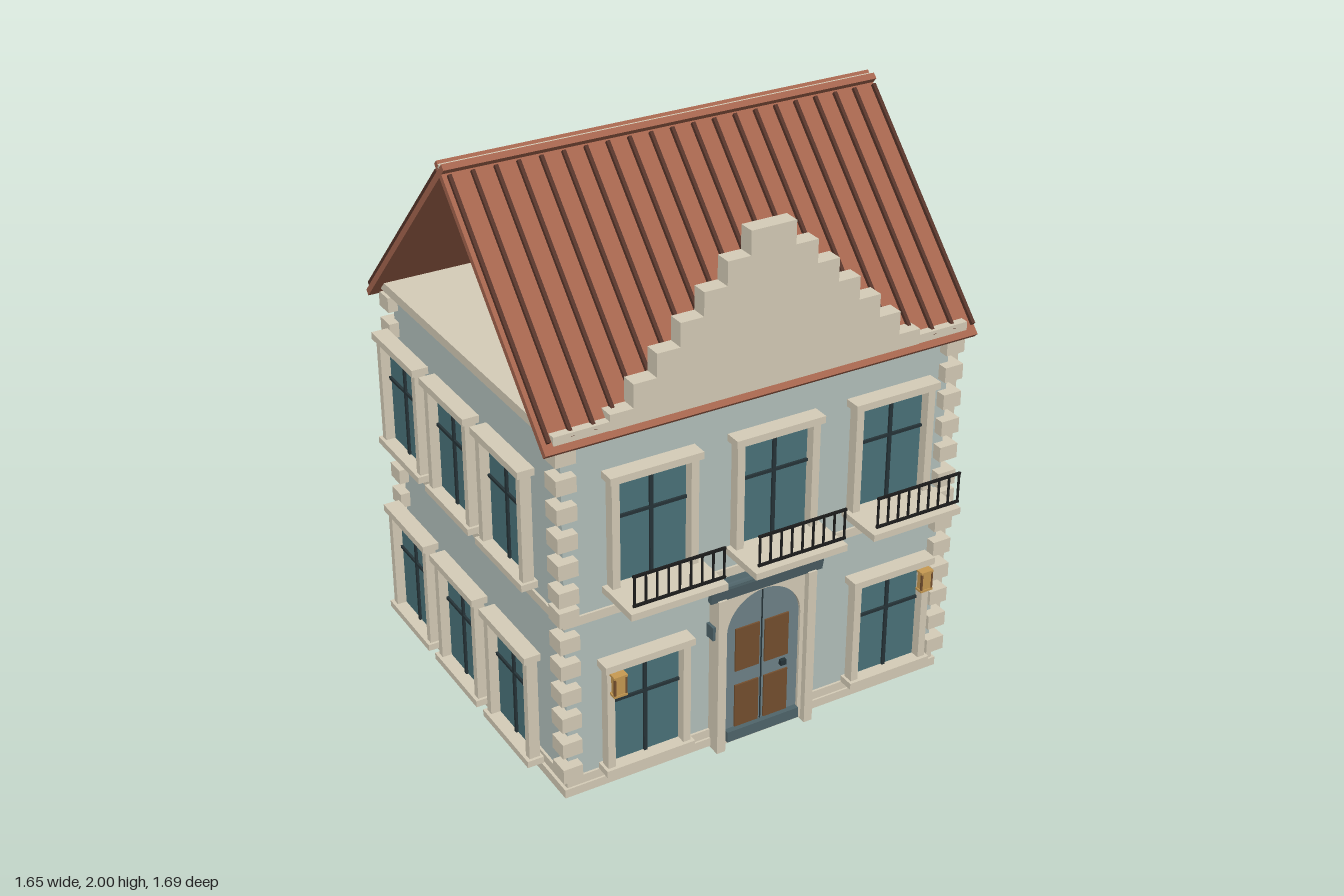
import * as THREE from 'three';

const mat = (color) => new THREE.MeshStandardMaterial({ color });
const M = {
  wall: mat(0xb4c2bd), cream: mat(0xd6cdb8), glass: mat(0x4a737a), dark: mat(0x263438),
  iron: mat(0x1c1c1c), roof: mat(0xa5654e), rib: mat(0x57352a), door: mat(0x6f8389),
  panel: mat(0x75502f), slate: mat(0x50656b), gold: mat(0xc79a52),
};

// Box given by its min and max on every axis
function box(parent, name, m, [x0, x1], [y0, y1], [z0, z1]) {
  const mesh = new THREE.Mesh(new THREE.BoxGeometry(x1 - x0, y1 - y0, z1 - z0), m);
  mesh.position.set((x0 + x1) / 2, (y0 + y1) / 2, (z0 + z1) / 2);
  mesh.name = name;
  parent.add(mesh);
  return mesh;
}

function group(parent, name) {
  const g = new THREE.Group();
  g.name = name;
  parent.add(g);
  return g;
}

// Window facing +z; the local origin is the bottom centre of the glass
function makeWindow(parent, x, y, z, withBalcony) {
  const g = group(parent, withBalcony ? 'balconyWindow' : 'window');
  g.position.set(x, y, z);
  box(g, 'glass', M.glass, [-0.13, 0.13], [0, 0.375], [0.004, 0.012]);
  box(g, 'mullion', M.dark, [-0.006, 0.006], [0, 0.375], [0.002, 0.02]);
  box(g, 'transom', M.dark, [-0.125, 0.125], [0.23, 0.24], [0.002, 0.02]);
  for (const s of [-1, 1]) {
    const e = [s * 0.125, s * 0.152].sort((a, b) => a - b);
    box(g, 'jamb', M.cream, e, [0, 0.375], [0.008, 0.046]);
  }
  box(g, 'lintel', M.cream, [-0.162, 0.162], [0.375, 0.4], [0, 0.058]);
  if (!withBalcony) {
    box(g, 'sill', M.cream, [-0.162, 0.162], [-0.024, 0], [0, 0.058]);
    return;
  }
  box(g, 'balconySlab', M.cream, [-0.17, 0.17], [-0.024, 0], [0.01, 0.192]);
  for (const ry of [0.022, 0.126]) {
    box(g, 'rail', M.iron, [-0.162, 0.162], [ry, ry + 0.008], [0.184, 0.192]);
  }
  for (let i = 0; i <= 8; i++) {
    const bx = -0.157 + i * 0.314 / 8;
    box(g, 'railBar', M.iron, [bx - 0.003, bx + 0.003], [0.022, 0.13], [0.185, 0.191]);
  }
}

function makeFacades(house) {
  const LOW = 0.136, HIGH = 0.808;
  for (const [name, turn] of [['frontWindows', 0], ['backWindows', Math.PI]]) {
    const g = group(house, name);
    g.rotation.y = turn;
    for (const x of [-0.442, 0, 0.442]) makeWindow(g, x, HIGH, 0.652, true);
    const lower = turn === 0 ? [-0.467, 0.467] : [-0.442, 0, 0.442];
    for (const x of lower) makeWindow(g, x, LOW, 0.652, false);
  }
  for (const s of [-1, 1]) {
    const g = group(house, s > 0 ? 'leftWindows' : 'rightWindows');
    g.rotation.y = s * Math.PI / 2;
    for (const y of [LOW, HIGH]) for (const x of [-0.375, 0, 0.375]) makeWindow(g, x, y, 0.767, false);
  }
}

// Corner stones
function makeQuoins(house) {
  const g = group(house, 'quoins');
  const heights = [0.11, 0.21, 0.31, 0.41, 0.51, 0.607, 0.707, 0.78, 0.88, 0.977, 1.077, 1.177, 1.275];
  for (const sx of [-1, 1]) for (const sz of [-1, 1]) for (const y of heights) {
    const stone = new THREE.Mesh(new THREE.BoxGeometry(0.07, 0.054, 0.073), M.cream);
    stone.position.set(sx * 0.713, y, sz * 0.6);
    stone.name = 'quoin';
    g.add(stone);
  }
}

// Two crossing slopes with raised ribs
function makeRoof(house) {
  const roof = group(house, 'roof');
  for (const turn of [0, Math.PI]) {
    const side = group(roof, 'roofSide');
    side.rotation.y = turn;
    const slope = group(side, 'roofSlope');
    slope.position.y = 1.965;
    slope.rotation.x = Math.atan2(0.66, 0.64);
    box(slope, 'roofPanel', M.roof, [-0.786, 0.786], [-0.011, 0.011], [-0.036, 0.925]);
    for (let i = 0; i <= 20; i++) {
      const x = -0.765 + i * 0.0772;
      box(slope, 'roofRib', M.rib, [x - 0.006, x + 0.006], [0.011, 0.024], [0.02, 0.89]);
    }
  }
  box(roof, 'ridgeStrip', M.cream, [-0.786, 0.786], [1.972, 1.99], [-0.01, 0.01]);
}

// Stepped ornamental gable
function makeGable(house) {
  const shape = new THREE.Shape();
  shape.moveTo(0.563, 1.295);
  for (let i = 0; i < 7; i++) {
    const x = 0.563 - i * 0.0805, y = 1.378 + i * 0.0807;
    shape.lineTo(x, y);
    if (i < 6) shape.lineTo(x - 0.0805, y);
  }
  for (let i = 6; i >= 0; i--) {
    const x = -0.563 + i * 0.0805, y = 1.378 + i * 0.0807;
    shape.lineTo(x, y);
    if (i > 0) shape.lineTo(x - 0.0805, y - 0.0807 + 0.0807);
    if (i > 0) shape.currentPoint.set(x, y);
  }
  shape.lineTo(-0.563, 1.295);
  return shape;
}

function steppedGable(house) {
  // Stacked courses, each one step narrower
  const g = group(house, 'steppedGable');
  for (let i = 0; i < 7; i++) {
    const hw = 0.563 - i * 0.0805;
    const y0 = i === 0 ? 1.295 : 1.378 + (i - 1) * 0.0807;
    box(g, 'gableCourse', M.cream, [-hw, hw], [y0, 1.378 + i * 0.0807], [0.58, 0.637]);
  }
}

function makeEntrance(house) {
  const g = group(house, 'entrance');
  // Arched surround
  const s = new THREE.Shape();
  s.moveTo(-0.158, 0.01); s.lineTo(0.158, 0.01); s.lineTo(0.158, 0.6); s.lineTo(-0.158, 0.6);
  const hole = new THREE.Path();
  hole.moveTo(-0.142, 0.02); hole.lineTo(0.142, 0.02); hole.lineTo(0.142, 0.44);
  hole.absarc(0, 0.44, 0.142, 0, Math.PI, false);
  s.holes.push(hole);
  const arch = new THREE.Mesh(new THREE.ExtrudeGeometry(s, { depth: 0.035, bevelEnabled: false, curveSegments: 16 }), M.cream);
  arch.position.z = 0.6;
  arch.name = 'doorArch';
  g.add(arch);
  // Double door with four panels
  box(g, 'doorLeaf', M.door, [-0.15, 0.15], [0.03, 0.595], [0.598, 0.624]);
  for (const x of [-0.058, 0.055]) for (const y of [0.145, 0.368]) {
    box(g, 'doorPanel', M.panel, [x - 0.046, x + 0.046], [y - 0.083, y + 0.083], [0.62, 0.63]);
  }
  box(g, 'doorSplit', M.dark, [-0.004, 0.0], [0.06, 0.58], [0.622, 0.627]);
  box(g, 'doorHandle', M.dark, [0.07, 0.092], [0.25, 0.27], [0.62, 0.638]);
  box(g, 'doorStep', M.slate, [-0.14, 0.14], [0.02, 0.06], [0.6, 0.645]);
  for (const sx of [-1, 1]) {
    const side = group(g, 'doorSide');
    side.position.x = sx * 0.172;
    box(side, 'doorPost', M.cream, [-0.016, 0.016], [0, 0.6], [0.6, 0.658]);
    box(side, 'postBracket', M.slate, [sx * 0.02 - 0.007, sx * 0.02 + 0.007], [0.445, 0.495], [0.6, 0.64]);
  }
  // Tilted board over the door
  const board = box(g, 'doorBoard', M.slate, [-0.213, 0.213], [0.597, 0.65], [0.635, 0.655]);
  board.rotation.x = 0.2;
  box(g, 'boardTrim', M.slate, [-0.216, 0.216], [0.64, 0.65], [0.6, 0.66]);
}

function makeLanterns(house) {
  for (const x of [-0.587, 0.587]) {
    const g = group(house, 'lantern');
    g.position.set(x, 0.465, 0.714);
    box(g, 'lanternBody', M.gold, [-0.02, 0.02], [-0.032, 0.032], [-0.012, 0.013]);
    for (const y of [-0.035, 0.035]) box(g, 'lanternCap', M.gold, [-0.024, 0.024], [y - 0.004, y + 0.004], [-0.015, 0.016]);
    for (const bx of [-0.02, 0.02]) box(g, 'lanternBar', M.panel, [bx - 0.003, bx + 0.003], [-0.032, 0.032], [0.008, 0.015]);
  }
}

export function createModel() {
  const house = new THREE.Group();
  house.name = 'townHouse';
  // Walls and horizontal mouldings
  box(house, 'walls', M.wall, [-0.713, 0.713], [0.002, 1.33], [-0.6, 0.6]);
  box(house, 'plinth', M.cream, [-0.733, 0.733], [0.006, 0.038], [-0.615, 0.615]);
  box(house, 'plinthMoulding', M.cream, [-0.722, 0.722], [0.038, 0.07], [-0.608, 0.608]);
  box(house, 'floorBand', M.cream, [-0.722, 0.722], [0.65, 0.682], [-0.608, 0.608]);
  box(house, 'cornice', M.cream, [-0.752, 0.752], [1.322, 1.355], [-0.636, 0.636]);
  makeQuoins(house);
  makeFacades(house);
  makeRoof(house);
  steppedGable(house);
  makeEntrance(house);
  makeLanterns(house);
  return house;
}
